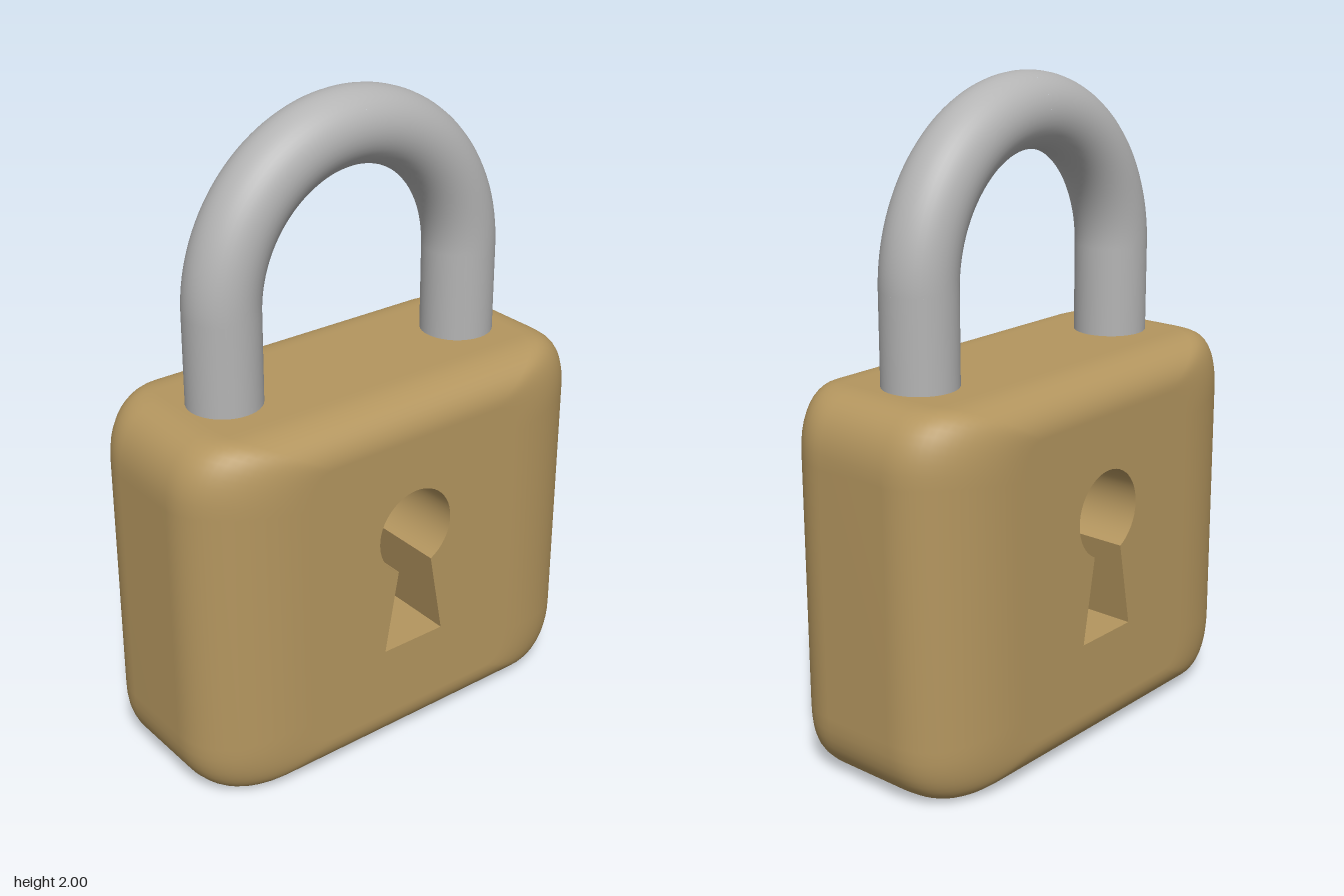
import * as THREE from 'three';
import { toCreasedNormals } from 'three/addons/utils/BufferGeometryUtils.js';

const HALF_W = 0.72, HALF_H = 0.58, HALF_D = 0.337, MID_Y = 0.58;
const FLOOR_Z = 0.02; // depth at which each keyhole ends

// Inset of a half-size as z passes from start to the face, as a quarter ellipse
function inset(z, start, amount) {
  const t = Math.min(1, Math.max(0, (z - start) / (HALF_D - start)));
  return amount * (1 - Math.pow(Math.max(0, 1 - Math.pow(t, 2.2)), 1 / 2.2));
}

// Rounded outline of the body, counter-clockwise, at distance |z| from the middle
function outline(z) {
  const w = HALF_W - inset(z, 0.12, 0.34), h = HALF_H - inset(z, 0.19, 0.12);
  const k = w / HALF_W, rx = 0.16 * k, ry = 0.2 * k, steps = 10, points = [];
  for (let corner = 0; corner < 4; corner++) {
    const sx = corner === 0 || corner === 3 ? 1 : -1, sy = corner < 2 ? 1 : -1;
    for (let i = 0; i <= steps; i++) {
      const a = (corner + i / steps) * Math.PI / 2;
      const c = Math.cos(a), s = Math.sin(a);
      const bend = (v) => Math.sign(v) * Math.pow(Math.abs(v), 0.85);
      points.push(new THREE.Vector2(sx * (w - rx) + rx * bend(c), sy * (h - ry) + ry * bend(s)));
    }
  }
  return points;
}

// Soft sides of the body: outlines lofted from back to front
function bodySides() {
  const levels = [], n = 16;
  for (let i = 0; i <= n; i++) levels.push(0.12 + (HALF_D - 0.12) * Math.sin(i / n * Math.PI / 2));
  const zs = [...levels.map((z) => -z).reverse(), ...levels];
  const pos = [], index = [], count = outline(0).length;
  zs.forEach((z, r) => {
    for (const p of outline(Math.abs(z))) pos.push(p.x, p.y, z);
    if (r === 0) return;
    for (let i = 0; i < count; i++) {
      const j = (i + 1) % count, a = (r - 1) * count, b = r * count;
      index.push(a + i, a + j, b + j, a + i, b + j, b + i);
    }
  });
  const g = new THREE.BufferGeometry();
  g.setAttribute('position', new THREE.Float32BufferAttribute(pos, 3));
  g.setIndex(index);
  g.computeVertexNormals();
  // End rings lie flush with the flat faces
  for (let i = 0; i < count; i++) {
    g.attributes.normal.setXYZ(i, 0, 0, -1);
    g.attributes.normal.setXYZ((zs.length - 1) * count + i, 0, 0, 1);
  }
  return g;
}

// Round top with a flared slot, counter-clockwise
function keyholePoints() {
  const r = 0.135, cy = 0.735 - MID_Y, half = Math.asin(0.062 / r), n = 40;
  const points = [new THREE.Vector2(-0.11, 0.35 - MID_Y), new THREE.Vector2(0.11, 0.35 - MID_Y)];
  for (let i = 0; i <= n; i++) {
    const a = -Math.PI / 2 + half + (i / n) * (2 * Math.PI - 2 * half);
    points.push(new THREE.Vector2(r * Math.cos(a), cy + r * Math.sin(a)));
  }
  return points;
}

// Walls of the keyhole, facing inward
function keyholeWalls(points) {
  const pos = [];
  points.forEach((a, i) => {
    const b = points[(i + 1) % points.length];
    pos.push(a.x, a.y, FLOOR_Z, b.x, b.y, HALF_D, b.x, b.y, FLOOR_Z);
    pos.push(a.x, a.y, FLOOR_Z, a.x, a.y, HALF_D, b.x, b.y, HALF_D);
  });
  const g = new THREE.BufferGeometry();
  g.setAttribute('position', new THREE.Float32BufferAttribute(pos, 3));
  return toCreasedNormals(g, Math.PI / 6);
}

// Quarter of the shackle arch, from a post up to the crown
class ArchCurve extends THREE.Curve {
  constructor(side) { super(); this.side = side; }
  getPoint(t, target = new THREE.Vector3()) {
    const a = t * Math.PI / 2;
    return target.set(this.side * 0.435 * Math.cos(a), 1.435 + 0.452 * Math.sin(a), 0);
  }
}

export function createModel() {
  const brass = new THREE.MeshStandardMaterial({ color: 0xb4965f });
  brass.name = 'brass';
  const steel = new THREE.MeshStandardMaterial({ color: 0xb4b4b4 });
  steel.name = 'steel';

  const model = new THREE.Group();
  model.name = 'padlock';
  const add = (parent, name, geometry, material) => {
    const mesh = new THREE.Mesh(geometry, material);
    mesh.name = name;
    parent.add(mesh);
    return mesh;
  };

  // Body with a keyhole in both faces
  const body = new THREE.Group();
  body.name = 'body';
  body.position.y = MID_Y;
  model.add(body);
  add(body, 'bodySides', bodySides(), brass);

  const hole = keyholePoints();
  const faceShape = new THREE.Shape(outline(HALF_D));
  faceShape.holes.push(new THREE.Path(hole));
  for (const side of ['front', 'back']) {
    const face = new THREE.Group();
    face.name = side + 'Face';
    if (side === 'back') face.rotation.y = Math.PI;
    add(face, side + 'Plate', new THREE.ShapeGeometry(faceShape), brass).position.z = HALF_D;
    add(face, side + 'KeyholeWalls', keyholeWalls(hole), brass);
    add(face, side + 'KeyholeFloor', new THREE.ShapeGeometry(new THREE.Shape(hole)), brass).position.z = FLOOR_Z;
    body.add(face);
  }

  // Shackle: a straight post and half an arch on each side
  const shackle = new THREE.Group();
  shackle.name = 'shackle';
  model.add(shackle);
  for (const [side, label] of [[1, 'left'], [-1, 'right']]) {
    const post = add(shackle, label + 'Post', new THREE.CylinderGeometry(0.113, 0.113, 0.335, 40), steel);
    post.position.set(side * 0.435, 1.2675, 0);
    add(shackle, label + 'Arch', new THREE.TubeGeometry(new ArchCurve(side), 32, 0.113, 40), steel);
  }
  return model;
}
